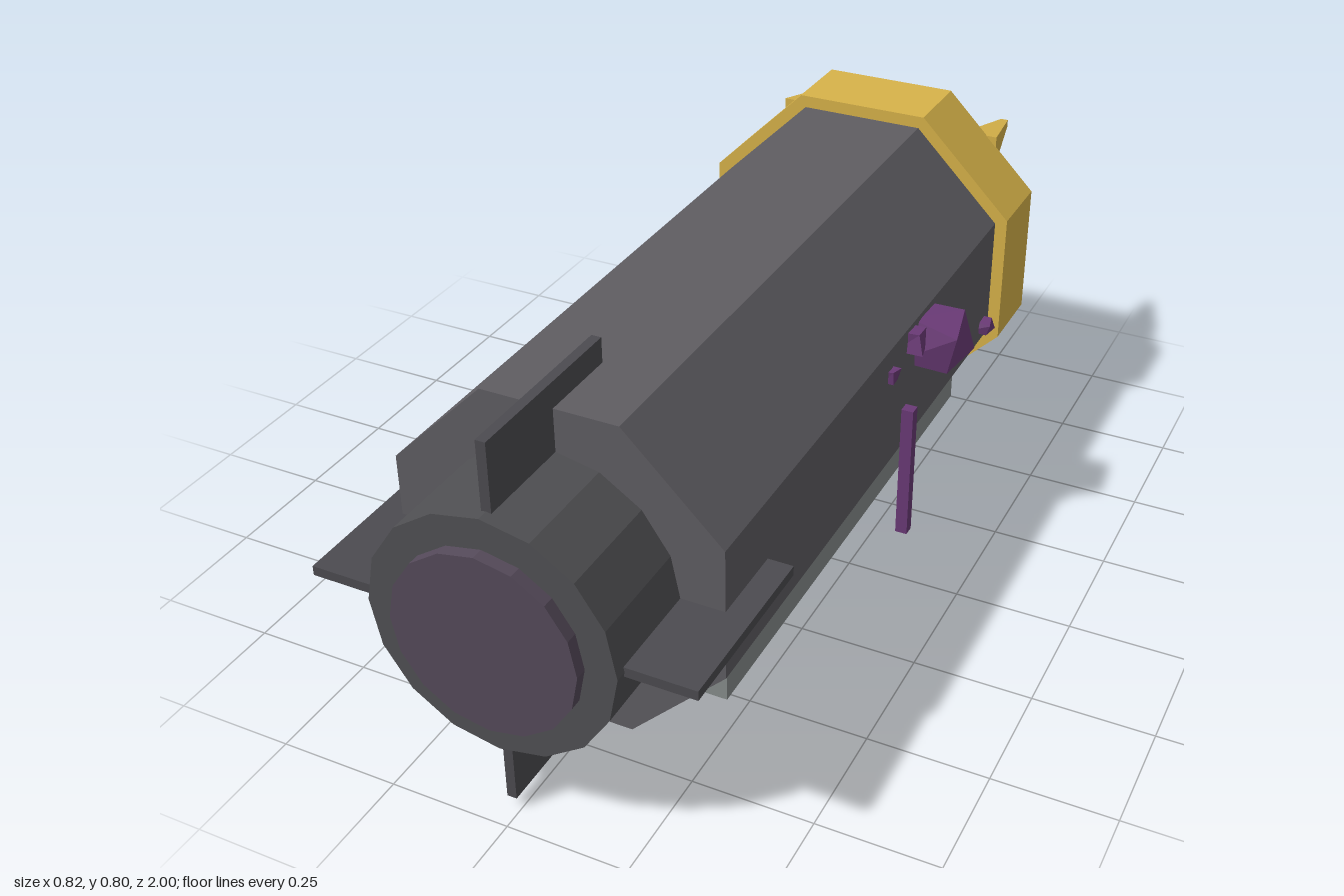
import * as THREE from 'three';

const CX = -0.0185, CY = 0.424; // axis of the barrel
const mat = (color) => new THREE.MeshStandardMaterial({ color, flatShading: true });
const M = {
  body: mat(0x5f5d62), neck: mat(0x505053), lens: mat(0x554a5a), fin: mat(0x4c4b50),
  gold: mat(0xd8b34a), rail: mat(0x868c8b), back: mat(0x6a6862), crystal: mat(0x6a3a76),
};

export function createModel() {
  const group = new THREE.Group();
  const add = (name, geo, material, x = 0, y = 0, z = 0) => {
    const mesh = new THREE.Mesh(geo, material);
    mesh.name = name;
    mesh.position.set(x, y, z);
    group.add(mesh);
    return mesh;
  };
  const box = (name, m, x0, x1, y0, y1, z0, z1) =>
    add(name, new THREE.BoxGeometry(x1 - x0, y1 - y0, z1 - z0), m, (x0 + x1) / 2, (y0 + y1) / 2, (z0 + z1) / 2);
  // prism along z, with its first corner at the given angle
  const prism = (name, m, r, sides, z0, z1, turn = 0) => {
    const g = new THREE.CylinderGeometry(r, r, z1 - z0, sides);
    g.rotateY(turn).rotateX(Math.PI / 2);
    return add(name, g, m, CX, CY, (z0 + z1) / 2);
  };

  // Barrel, neck and front lens
  prism('body', M.body, 0.367, 8, -0.8, 0.745, Math.PI / 8);
  prism('neck', M.neck, 0.252, 16, 0.74, 0.975);
  prism('lens', M.lens, 0.189, 16, 0.97, 1.0);
  prism('backPlate', M.back, 0.345, 8, -0.815, -0.79, Math.PI / 8);

  // Octagonal rear collar
  const octagon = (r, Type) => new Type(Array.from({ length: 8 }, (_, i) => {
    const a = (i + 0.5) * Math.PI / 4;
    return new THREE.Vector2(r * Math.cos(a), r * Math.sin(a));
  }));
  const ring = octagon(0.397, THREE.Shape);
  ring.holes.push(octagon(0.336, THREE.Path));
  add('rearCollar', new THREE.ExtrudeGeometry(ring, { depth: 0.177, bevelEnabled: false }), M.gold, CX, CY, -0.823);

  // Four square spikes on the collar
  for (const sx of [-1, 1]) for (const sy of [-1, 1]) {
    const g = new THREE.CylinderGeometry(0.012, 0.056, 0.18, 4);
    g.rotateY(Math.PI / 4).rotateX(-Math.PI / 2);
    add('spike', g, M.gold, CX + sx * 0.2325, CY + sy * 0.2325, -0.91);
  }

  // Four radial fins around the neck
  for (let i = 0; i < 4; i++) {
    const g = new THREE.BoxGeometry(0.19, 0.02, 0.378);
    g.translate(0.296, 0, 0.762);
    add('fin', g, M.fin, CX, CY, 0).rotation.z = i * Math.PI / 2;
  }

  // Lower side rails
  for (const s of [-1, 1]) {
    const a = CX + s * 0.278, b = CX + s * 0.15;
    box('rail', M.rail, Math.min(a, b), Math.max(a, b), 0.112, 0.222, -0.595, 0.62);
  }

  // Crystal growths: boxes with their corners pulled inwards by a fixed rule
  const rock = (x0, x1, y0, y1, z0, z1, seed) => {
    const mesh = box('crystal', M.crystal, x0, x1, y0, y1, z0, z1);
    const p = mesh.geometry.attributes.position;
    for (let i = 0; i < p.count; i++) {
      const k = (p.getX(i) > 0 ? 1 : 0) + (p.getY(i) > 0 ? 2 : 0) + (p.getZ(i) > 0 ? 4 : 0);
      const pull = (n) => 1 - 0.38 * Math.abs(Math.sin(seed * 7.3 + k * 2.1 + n * 1.7));
      p.setXYZ(i, p.getX(i) * pull(0), p.getY(i) * pull(1), p.getZ(i) * pull(2));
    }
    mesh.geometry.computeVertexNormals();
  };
  const rocks = [
    // on the left flank
    [0.28, 0.412, 0.428, 0.562, -0.28, -0.145, 1],
    [0.28, 0.358, 0.5, 0.56, -0.155, -0.095, 2],
    [0.3, 0.338, 0.485, 0.522, -0.032, 0.004, 3],
    [0.29, 0.348, 0.3, 0.34, -0.625, -0.58, 4],
    // underneath
    [-0.118, -0.038, 0.036, 0.12, 0.315, 0.395, 5],
    [-0.1, 0.018, 0, 0.12, 0.038, 0.15, 6],
    [-0.005, 0.077, 0.022, 0.12, -0.195, -0.122, 7],
    [0.0, 0.06, 0.048, 0.12, -0.025, 0.015, 8],
  ];
  rocks.forEach((r) => rock(...r));
  box('crystalShard', M.crystal, 0.03, 0.093, 0.035, 0.06, -0.045, -0.018);
  box('crystalStrip', M.crystal, 0.345, 0.371, 0.113, 0.422, -0.047, -0.022);

  return group;
}
